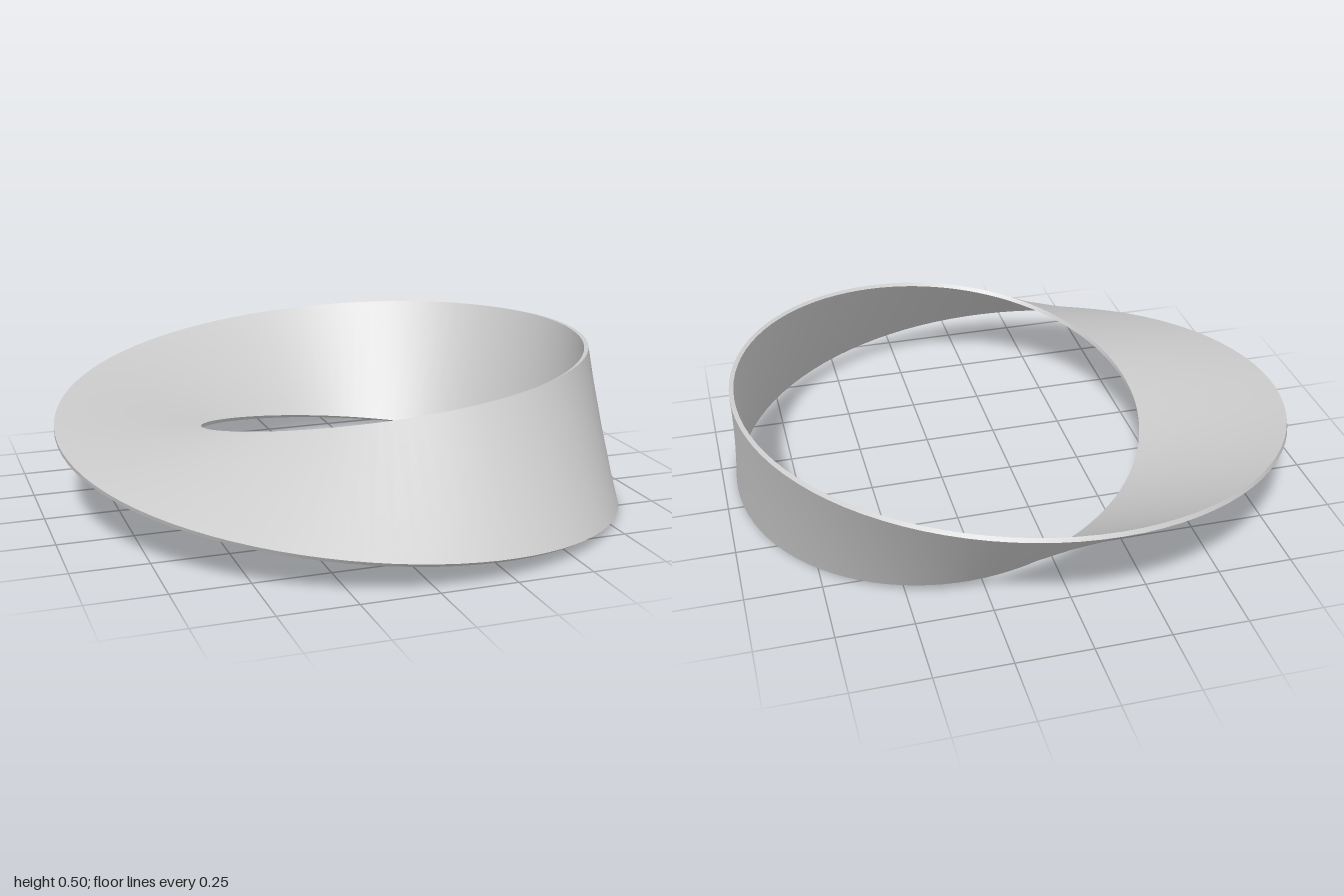
import * as THREE from 'three';

const RADIUS = 0.816, HALF_WIDTH = 0.251, HALF_THICK = 0.0075;
const SEGMENTS = 96; // per turn
const CENTRE = new THREE.Vector3(0.123, 0.252, 0);

// One continuous surface of the half-twisted band. It closes on itself after
// two turns: "out" is its distance from the centre line, "half" its half width.
function twistedStrip(out, half, phase) {
  const count = SEGMENTS * 2, position = [], index = [];
  const up = new THREE.Vector3(0, 1, 0);
  for (let i = 0; i < count; i++) {
    const angle = (i / SEGMENTS) * Math.PI * 2;
    const twist = phase - angle / 2;
    const radial = new THREE.Vector3(Math.cos(angle), 0, Math.sin(angle));
    const normal = radial.clone().multiplyScalar(Math.cos(twist)).addScaledVector(up, -Math.sin(twist));
    const across = radial.clone().multiplyScalar(Math.sin(twist)).addScaledVector(up, Math.cos(twist));
    for (const side of [-1, 1]) {
      const p = CENTRE.clone().addScaledVector(radial, RADIUS)
        .addScaledVector(normal, out).addScaledVector(across, side * half);
      position.push(p.x, p.y, p.z);
    }
    const a = i * 2, b = a + 1, c = ((i + 1) % count) * 2, d = c + 1;
    index.push(a, b, c, b, d, c);
  }
  const geometry = new THREE.BufferGeometry();
  geometry.setAttribute('position', new THREE.Float32BufferAttribute(position, 3));
  geometry.setIndex(index);
  geometry.computeVertexNormals();
  return geometry;
}

export function createModel() {
  const group = new THREE.Group();
  group.name = 'twistedBand';
  const material = new THREE.MeshStandardMaterial({ color: 0xcccccc });
  const add = (name, geometry) => {
    const mesh = new THREE.Mesh(geometry, material);
    mesh.name = name;
    group.add(mesh);
  };
  // broad face, and the thin rim a quarter turn from it
  add('bandFace', twistedStrip(HALF_THICK, HALF_WIDTH, 0));
  add('bandRim', twistedStrip(HALF_WIDTH, HALF_THICK, -Math.PI / 2));
  return group;
}
